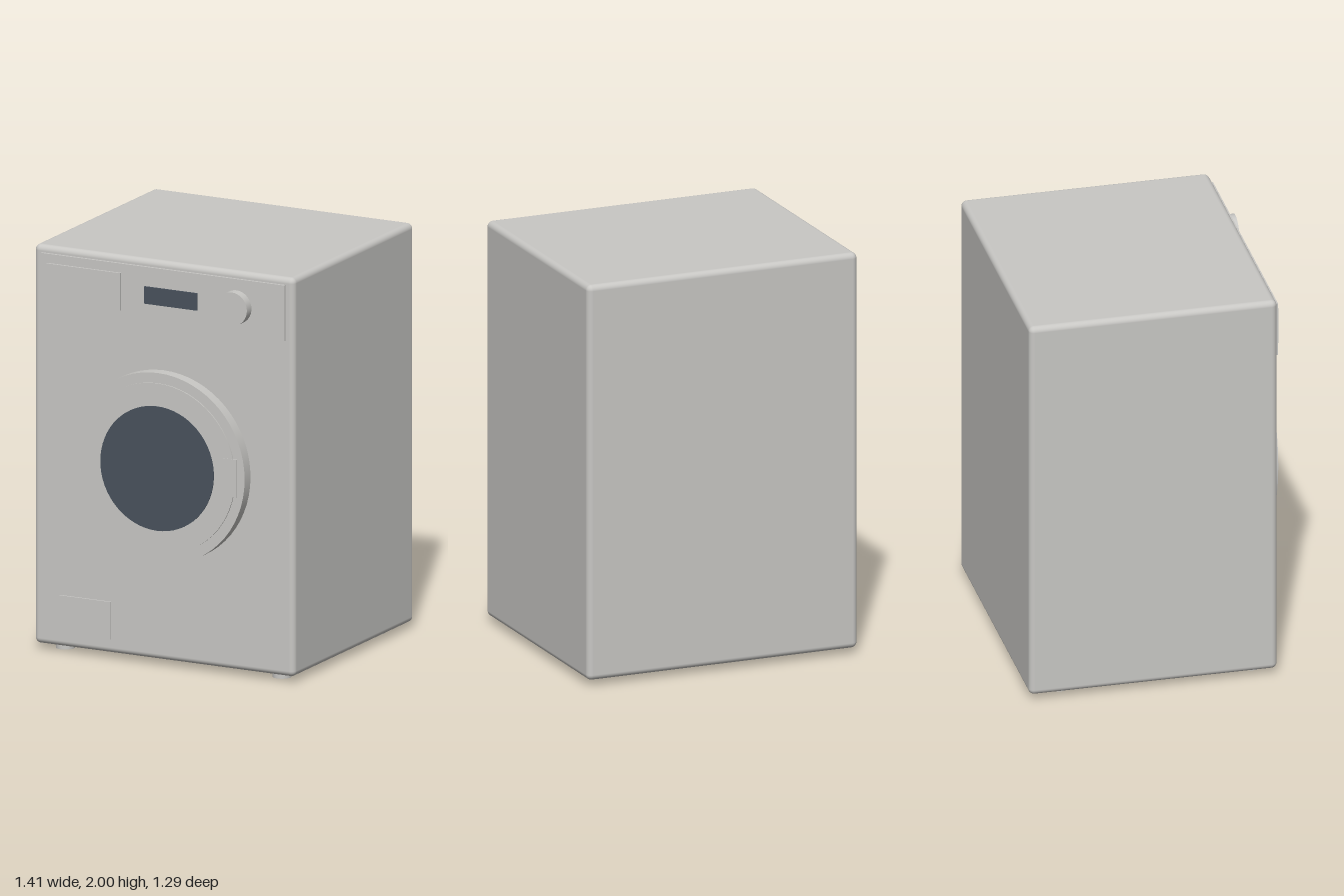
import * as THREE from 'three';
import { RoundedBoxGeometry } from 'three/addons/geometries/RoundedBoxGeometry.js';

export function createModel() {
  const model = new THREE.Group();
  model.name = 'washingMachine';
  const enamel = new THREE.MeshStandardMaterial({ color: 0xc8c7c4 });
  enamel.name = 'pale grey enamel';
  const glass = new THREE.MeshStandardMaterial({ color: 0x49525d });
  glass.name = 'dark glass';
  const face = 0.575; // z of the cabinet front

  const add = (name, geometry, material, x, y, z) => {
    const mesh = new THREE.Mesh(geometry, material);
    mesh.name = name;
    mesh.position.set(x, y, z);
    model.add(mesh);
    return mesh;
  };
  // Plate given by its edges, from z0 forward to z1
  const plate = (name, x0, x1, y0, y1, z0, z1, material = enamel) =>
    add(name, new THREE.BoxGeometry(x1 - x0, y1 - y0, z1 - z0), material,
      (x0 + x1) / 2, (y0 + y1) / 2, (z0 + z1) / 2);
  // Disc facing forward, from z0 to z1
  const disc = (name, r, x, y, z0, z1, material = enamel) =>
    add(name, new THREE.CylinderGeometry(r, r, z1 - z0, 64).rotateX(Math.PI / 2),
      material, x, y, (z0 + z1) / 2);

  // Cabinet with softened edges
  add('cabinet', new RoundedBoxGeometry(1.41, 1.97, 1.22, 5, 0.028), enamel, 0, 1.015, -0.035);

  // Control panel
  plate('controlPanel', -0.66, 0.66, 1.69, 1.965, face - 0.01, 0.588);
  plate('detergentDrawer', -0.625, -0.225, 1.735, 1.92, 0.58, 0.599);
  plate('display', -0.095, 0.19, 1.785, 1.87, 0.588, 0.596, glass);
  disc('programKnob', 0.082, 0.4, 1.828, 0.58, 0.635);

  // Round door
  disc('doorRing', 0.47, 0, 0.993, face - 0.01, 0.635);
  disc('doorInnerRing', 0.42, 0, 0.993, 0.63, 0.641);
  disc('doorGlass', 0.307, 0, 0.993, 0.638, 0.645, glass);
  plate('doorHandle', 0.36, 0.43, 0.9, 1.088, 0.63, 0.643);

  // Filter hatch
  plate('filterHatch', -0.565, -0.285, 0.1, 0.285, face - 0.01, 0.584);

  // Feet
  for (const x of [-0.587, 0.587])
    for (const z of [-0.47, 0.475])
      add('foot', new THREE.CylinderGeometry(0.046, 0.046, 0.05, 32), enamel, x, 0.025, z);

  return model;
}
